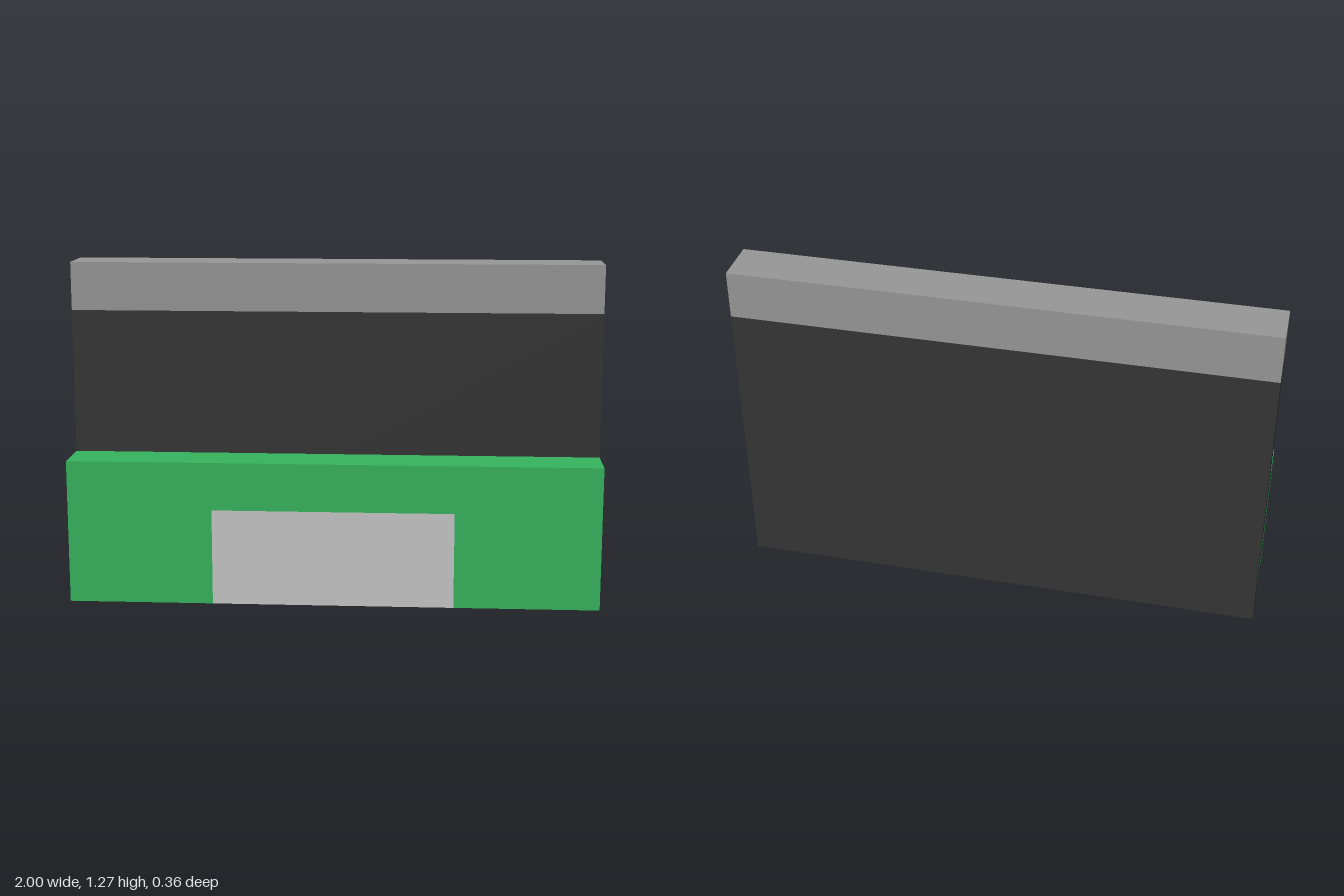
import * as THREE from 'three';

const U = 2 / 11; // module unit: the model is 11 wide, 7 tall, 2 deep

function material(name, color) {
  const m = new THREE.MeshStandardMaterial({ color });
  m.name = name;
  return m;
}

export function createModel() {
  const group = new THREE.Group();
  const green = material('green', 0x36b55e);
  const charcoal = material('charcoal', 0x353535);
  const midGrey = material('midGrey', 0x979797);
  const lightGrey = material('lightGrey', 0xc9c9c9);

  const add = (name, geometry, mat) => {
    const mesh = new THREE.Mesh(geometry, mat);
    mesh.name = name;
    group.add(mesh);
  };
  // Box standing on height y, sizes in units
  const block = (w, h, d, y, z) =>
    new THREE.BoxGeometry(w * U, h * U, d * U).translate(0, (y + h / 2) * U, z * U);

  // Tall rear slab and the band capping it
  add('backSlab', block(11, 6, 1, 0, -0.5), charcoal);
  add('topBand', block(11, 1, 1, 6, -0.5), midGrey);

  // Low front block with an opening cut up from its base
  const outline = [
    [-5.5, 0], [-2.5, 0], [-2.5, 2], [2.5, 2],
    [2.5, 0], [5.5, 0], [5.5, 3], [-5.5, 3],
  ].map(([x, y]) => new THREE.Vector2(x * U, y * U));
  add('frontBlock', new THREE.ExtrudeGeometry(new THREE.Shape(outline), {
    depth: U, bevelEnabled: false,
  }), green);

  // Flush panel filling the opening
  add('frontPanel', block(5, 2, 1, 0, 0.5), lightGrey);

  return group;
}
